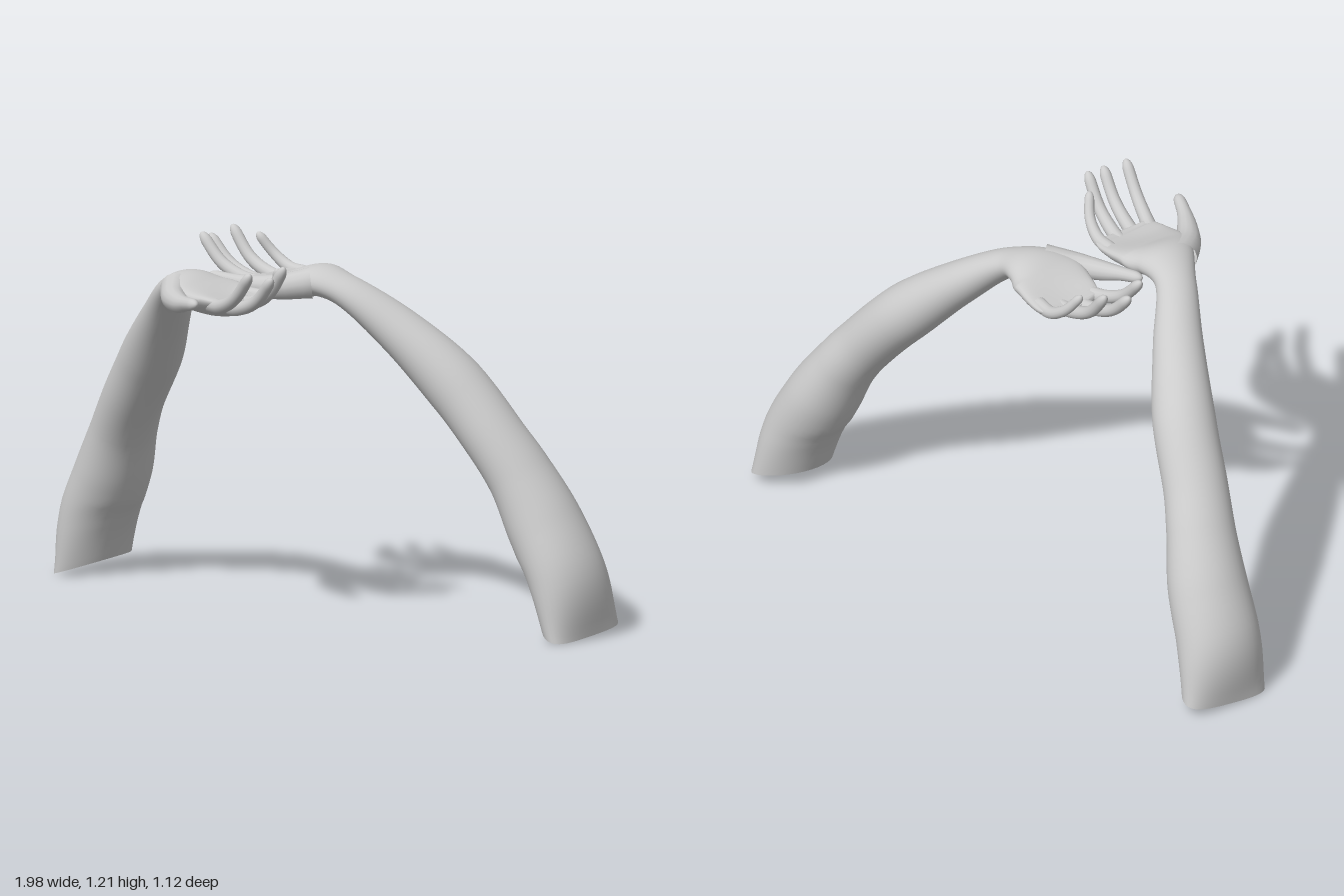
import * as THREE from 'three';

const material = new THREE.MeshStandardMaterial({ color: 0xcccccc, side: THREE.DoubleSide });

// Smooth skin through sections [x, y, z, halfWidth, halfThickness, cup].
// "cup" lifts both side edges; "round" is the share of the length used for a domed end.
function loft(rows, { rings = 32, sides = 20, round = 0, shape = null } = {}) {
  const path = new THREE.CatmullRomCurve3(rows.map(r => new THREE.Vector3(r[0], r[1], r[2])));
  const size = new THREE.CatmullRomCurve3(rows.map(r => new THREE.Vector3(r[3], r[4], r[5] || 0)));
  const pos = [], index = [];
  for (let i = 0; i <= rings; i++) {
    const v = i / rings;
    const u = round ? 1 - (1 - v) ** 2 : v;
    const c = path.getPoint(u), s = size.getPoint(u), t = path.getTangent(u);
    const w = new THREE.Vector3(0, 0, 1).addScaledVector(t, -t.z).normalize();
    const n = new THREE.Vector3().crossVectors(w, t);
    const k = round ? Math.max(0, (u - 1 + round) / round) : 0;
    const dome = Math.sqrt(Math.max(0, 1 - k * k));
    for (let j = 0; j < sides; j++) {
      const a = j / sides * Math.PI * 2, ca = Math.cos(a), sa = Math.sin(a);
      const p = c.clone()
        .addScaledVector(w, s.x * ca * dome)
        .addScaledVector(n, (s.y * sa + s.z * ca * ca) * dome);
      if (shape) shape(p);
      pos.push(p.x, p.y, p.z);
      if (i < rings) {
        const A = i * sides + j, B = i * sides + (j + 1) % sides;
        index.push(A, A + sides, B, B, A + sides, B + sides);
      }
    }
  }
  const g = new THREE.BufferGeometry();
  g.setAttribute('position', new THREE.Float32BufferAttribute(pos, 3));
  g.setIndex(index);
  g.computeVertexNormals();
  return g;
}

// Upper arm, elbow, forearm, wrist and cupped palm in one skin
const armRows = [
  [-0.90, 0.03, -0.05, 0.15, 0.08, 0.035],
  [-0.875, 0.19, -0.035, 0.143, 0.112, 0.01],
  [-0.795, 0.36, -0.017, 0.133, 0.112],
  [-0.72, 0.50, 0.012, 0.115, 0.098],
  [-0.645, 0.61, 0.045, 0.107, 0.094],
  [-0.51, 0.775, 0.095, 0.104, 0.095],
  [-0.345, 0.945, 0.188, 0.083, 0.072],
  [-0.20, 1.065, 0.28, 0.068, 0.048],
  [-0.11, 1.092, 0.305, 0.098, 0.05],
  [-0.04, 1.072, 0.312, 0.126, 0.048, 0.02],
  [0.04, 1.055, 0.302, 0.122, 0.04, 0.03],
  [0.10, 1.056, 0.297, 0.114, 0.03, 0.025],
  [0.13, 1.065, 0.297, 0.10, 0.018, 0.018],
  [0.14, 1.069, 0.297, 0.0, 0.0],
];

// Slants the open cut so its inner side sits higher
const slantCut = p => { p.y += 0.5 * (p.x + 0.91) * Math.max(0, 1 - Math.max(p.y, 0) / 0.25); };

// Centre lines from inside the palm to the tip, with radius at the base and the tip
const digits = {
  littleFinger: { r: [0.024, 0.015], pts: [[0.06, 1.075, 0.213], [0.13, 1.082, 0.211], [0.19, 1.12, 0.222], [0.238, 1.187, 0.253]] },
  ringFinger: { r: [0.026, 0.018], pts: [[0.06, 1.06, 0.272], [0.14, 1.068, 0.28], [0.23, 1.11, 0.288], [0.31, 1.208, 0.295]] },
  middleFinger: { r: [0.026, 0.018], pts: [[0.06, 1.055, 0.33], [0.15, 1.06, 0.346], [0.25, 1.10, 0.36], [0.333, 1.186, 0.372]] },
  indexFinger: { r: [0.026, 0.018], pts: [[0.05, 1.065, 0.375], [0.13, 1.072, 0.402], [0.22, 1.115, 0.424], [0.302, 1.204, 0.438]] },
  thumb: { r: [0.05, 0.018], pts: [[-0.12, 1.09, 0.36], [-0.05, 1.078, 0.435], [0.03, 1.08, 0.486], [0.09, 1.09, 0.515], [0.162, 1.102, 0.541]] },
};

function digitGeometry({ r, pts }) {
  const last = pts.length - 1;
  const rows = pts.map((p, i) => {
    const radius = THREE.MathUtils.lerp(r[0], r[1], Math.min(1, 1.15 * i / last));
    return [...p, radius, radius];
  });
  return loft(rows, { rings: 28, sides: 14, round: 0.1 });
}

// Mirrors a geometry in x and turns its faces round again
function mirrored(geometry) {
  const g = geometry.clone();
  const p = g.attributes.position, ix = g.index;
  for (let i = 0; i < p.count; i++) p.setX(i, -p.getX(i));
  for (let i = 0; i < ix.count; i += 3) {
    const b = ix.getX(i + 1);
    ix.setX(i + 1, ix.getX(i + 2));
    ix.setX(i + 2, b);
  }
  g.computeVertexNormals();
  return g;
}

export function createModel() {
  const model = new THREE.Group();
  model.name = 'pairOfArms';
  const parts = { armAndPalm: loft(armRows, { rings: 96, sides: 36, shape: slantCut }) };
  for (const name in digits) parts[name] = digitGeometry(digits[name]);

  // The left arm is the mirrored right arm, set further back
  for (const side of ['right', 'left']) {
    const arm = new THREE.Group();
    arm.name = side + 'Arm';
    for (const name in parts) {
      const mesh = new THREE.Mesh(side === 'left' ? mirrored(parts[name]) : parts[name], material);
      mesh.name = name;
      arm.add(mesh);
    }
    if (side === 'left') arm.position.z = -0.365;
    model.add(arm);
  }
  return model;
}
